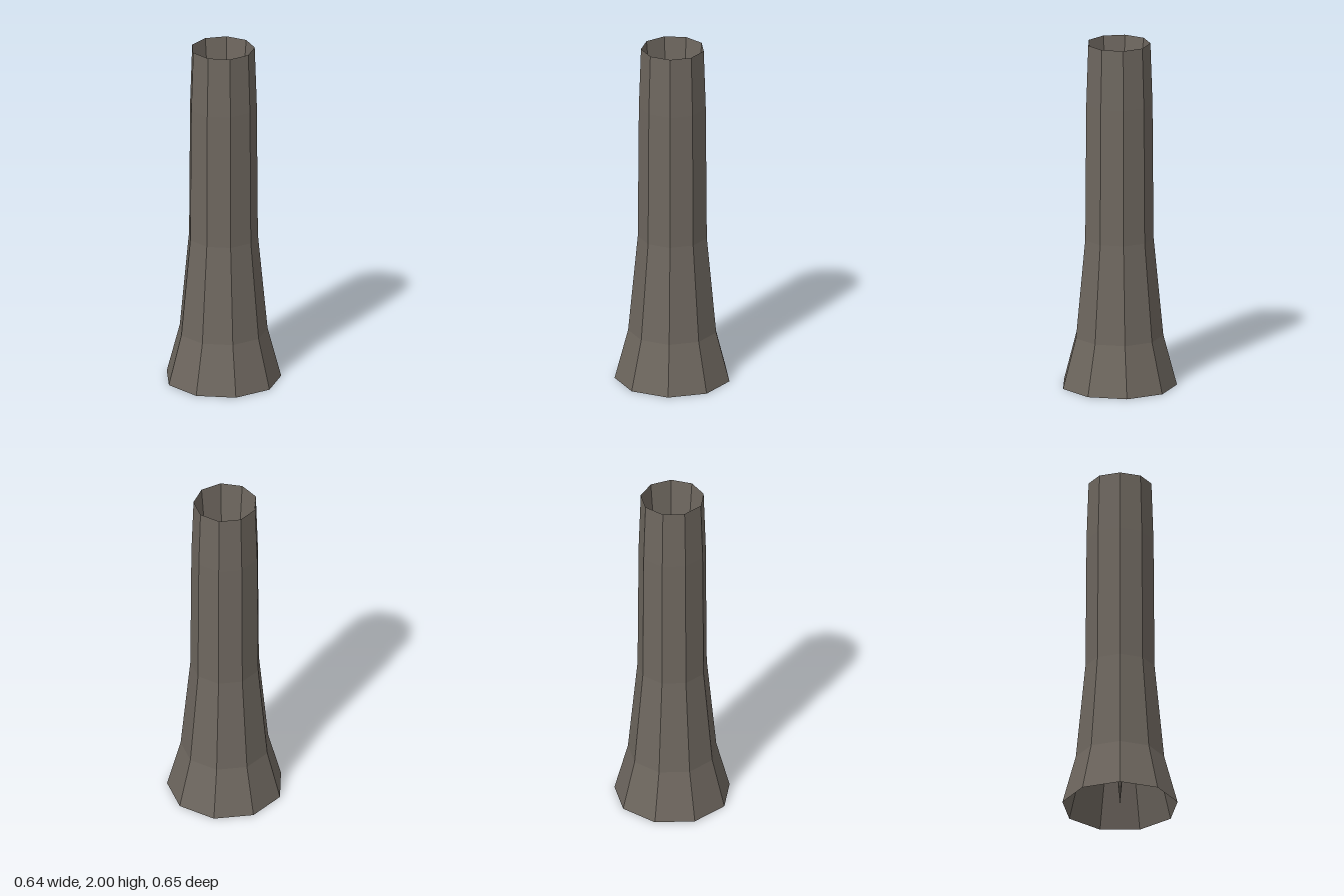
import * as THREE from 'three';

const SIDES = 9;

export function createModel() {
  const group = new THREE.Group();
  group.name = 'flaredColumn';

  const material = new THREE.MeshStandardMaterial({
    color: 0x6e675f,
    flatShading: true,
    side: THREE.DoubleSide,
  });

  // Nine-sided surface of revolution with one corner pointing to +x
  const addShell = (name, profile) => {
    const points = profile.map(([r, y]) => new THREE.Vector2(r, y));
    const mesh = new THREE.Mesh(new THREE.LatheGeometry(points, SIDES, Math.PI / 2), material);
    mesh.name = name;
    mesh.position.x = -0.01; // centres the odd-sided outline
    group.add(mesh);
  };

  // Outer wall: flared foot, straight shaft, slightly narrowed mouth
  addShell('outerWall', [[0.331, 0], [0.254, 0.29], [0.199, 0.86], [0.193, 1.65], [0.181, 2]]);

  // Hollow inside: a funnel from the rim down to a point at the base
  addShell('innerFunnel', [[0, 0.005], [0.181, 2]]);

  return group;
}
